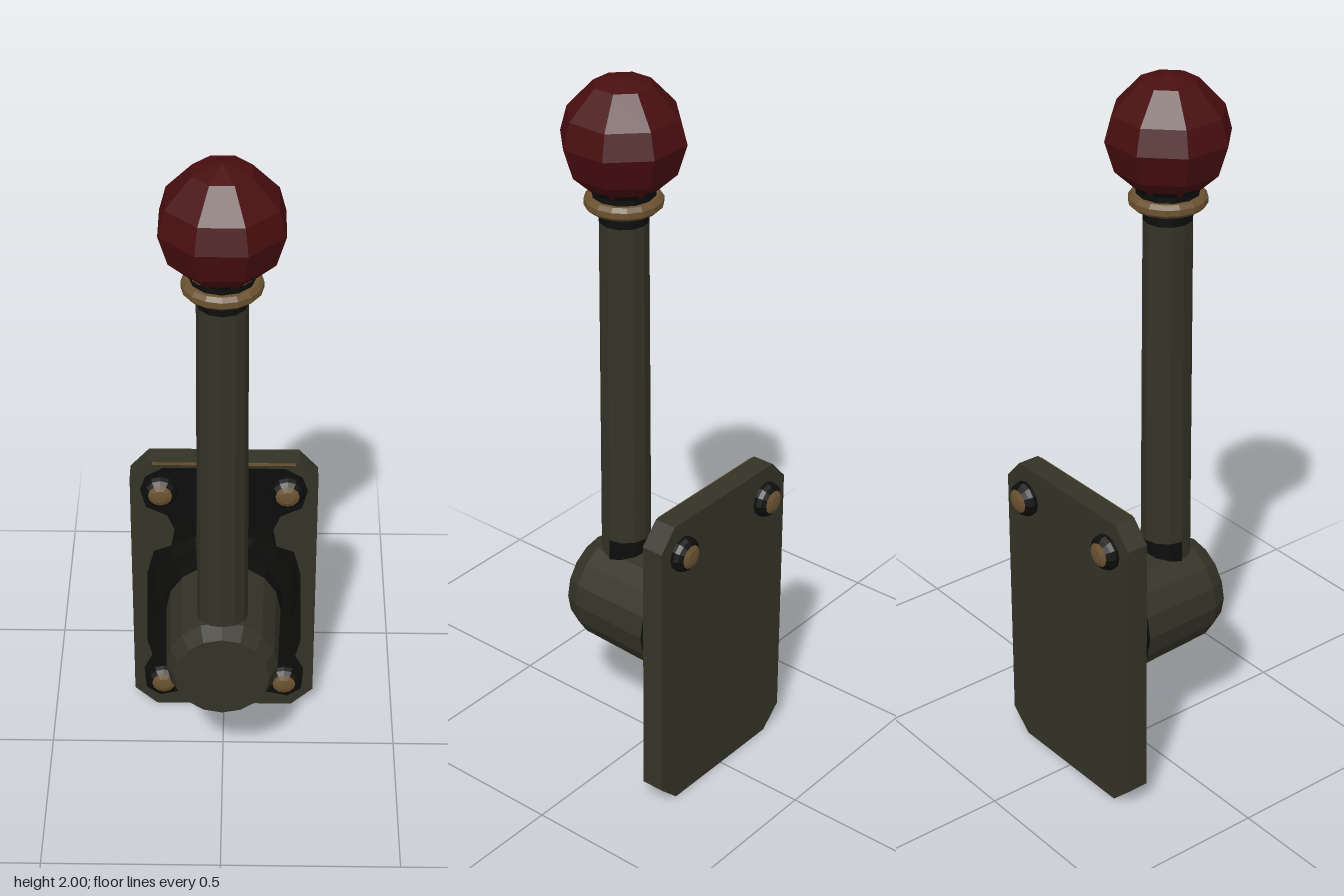
import * as THREE from 'three';

const flat = (name, color) => {
  const m = new THREE.MeshStandardMaterial({ color });
  m.name = name;
  m.flatShading = true;
  return m;
};

export function createModel() {
  const root = new THREE.Group();
  root.name = 'wallLever';
  const olive = flat('oliveMetal', 0x333327);
  const black = flat('sootBlack', 0x0d0d0c);
  const red = flat('darkRed', 0x480e10);
  const brass = flat('wornBrass', 0x6b5230);

  const add = (name, geometry, material, x = 0, y = 0, z = 0, parent = root) => {
    const mesh = new THREE.Mesh(geometry, material);
    mesh.name = name;
    mesh.position.set(x, y, z);
    parent.add(mesh);
    return mesh;
  };
  // Profiles are [radius, height], listed from bottom to top
  const lathe = (profile, sides, start = 0, sweep = Math.PI * 2) =>
    new THREE.LatheGeometry(profile.map(p => new THREE.Vector2(...p)), sides, start, sweep);
  const latheZ = (profile, sides, start = 0) => lathe(profile, sides, start).rotateX(Math.PI / 2);
  // Left-right symmetrical outline from its +x half, listed from bottom to top
  const mirrored = half => new THREE.Shape([
    ...half.map(([x, y]) => new THREE.Vector2(x, y)),
    ...half.slice().reverse().map(([x, y]) => new THREE.Vector2(-x, y)),
  ]);
  const slab = (half, depth) =>
    new THREE.ExtrudeGeometry(mirrored(half), { depth, bevelEnabled: false });

  // Wall plate with clipped corners
  add('wallPlate', slab([[0.2, 0], [0.264, 0.06], [0.264, 0.835], [0.21, 0.895]], 0.064),
    olive, 0, 0, -0.234);

  // Uneven soot patch on the plate front
  add('plateSoot', slab([
    [0.13, 0.05], [0.19, 0.035], [0.23, 0.065], [0.235, 0.14], [0.21, 0.19], [0.225, 0.25],
    [0.22, 0.5], [0.2, 0.58], [0.15, 0.6], [0.14, 0.66], [0.16, 0.71], [0.22, 0.74],
    [0.235, 0.8], [0.22, 0.845], [0.17, 0.875],
  ], 0.003), black, 0, 0, -0.17);

  // Worn metal along the top front edge
  add('plateEdgeWear', new THREE.BoxGeometry(0.4, 0.007, 0.004), brass, 0, 0.8905, -0.1685);

  // Bolts: four in front, the upper pair also showing behind
  const addBolt = (name, x, y, z, turn) => {
    const bolt = new THREE.Group();
    bolt.name = name;
    bolt.position.set(x, y, z);
    bolt.rotation.y = turn;
    root.add(bolt);
    add('boltRim', latheZ([[0.05, -0.01], [0.05, 0.01], [0.045, 0.022], [0.034, 0.031]], 12),
      black, 0, 0, 0, bolt);
    add('boltCap', latheZ([[0.034, 0.031], [0.02, 0.038], [0, 0.04]], 12),
      brass, 0, 0, 0, bolt);
  };
  for (const x of [-0.178, 0.178]) {
    for (const y of [0.105, 0.8]) addBolt('frontBolt', x, y, -0.17, 0);
    addBolt('backBolt', x, 0.8, -0.234, Math.PI);
  }

  // Round flange and pivot barrel
  const pivotY = 0.446;
  add('flange', latheZ([[0.215, -0.17], [0.215, -0.15], [0.207, -0.12], [0.15, -0.115]], 16),
    black, 0, pivotY);
  add('barrelRoot', latheZ([[0.172, -0.13], [0.168, -0.105], [0.163, -0.075]], 16),
    black, 0, pivotY);
  add('barrel', latheZ([[0.163, -0.075], [0.155, 0.17], [0.132, 0.218], [0, 0.218]], 16),
    olive, 0, pivotY);

  // Lever shaft with darkened ends
  const shaftZ = 0.112;
  add('shaft', lathe([[0.071, 0.5], [0.07, 0.7], [0.067, 1.6]], 12), olive, 0, 0, shaftZ);
  add('shaftTop', lathe([[0.067, 1.6], [0.067, 1.65]], 12), black, 0, 0, shaftZ);
  add('shaftBaseSoot', lathe([[0.073, 0.57], [0.072, 0.645]], 6, Math.PI / 2, Math.PI),
    black, 0, 0, shaftZ);

  // Brass ring, neck and faceted knob
  add('ring', lathe([
    [0.06, 1.638], [0.095, 1.638], [0.105, 1.648], [0.105, 1.664], [0.095, 1.675], [0.06, 1.675],
  ], 16), brass, 0, 0, shaftZ);
  add('neck', lathe([[0.085, 1.67], [0.085, 1.69], [0.11, 1.712]], 12), black, 0, 0, shaftZ);
  add('knob', lathe([
    [0, 1.69], [0.092, 1.695], [0.145, 1.745], [0.171, 1.83], [0.152, 1.9], [0.08, 1.978], [0, 2],
  ], 8, Math.PI / 8), red, 0, 0, shaftZ);

  return root;
}
